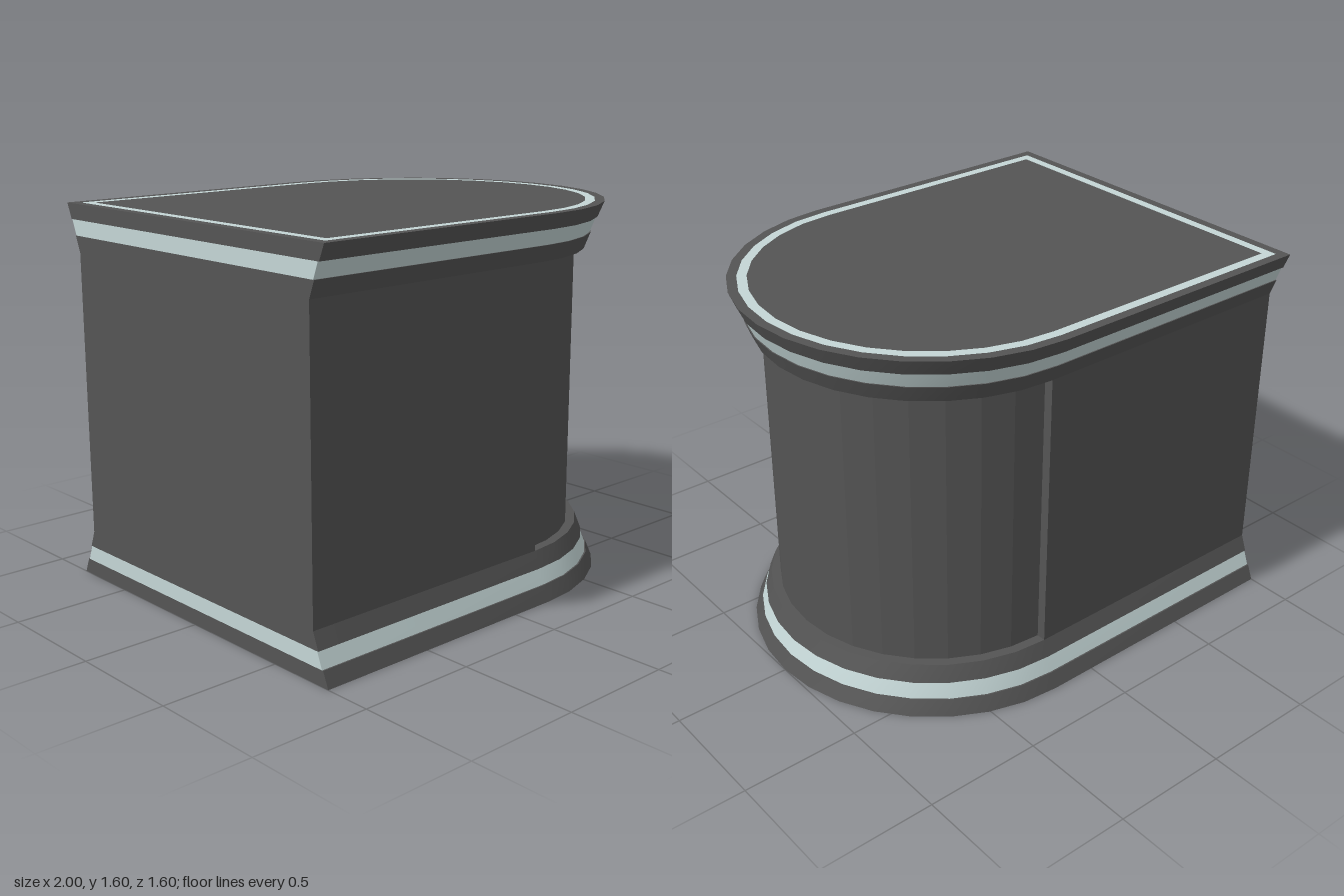
import * as THREE from 'three';
import { toCreasedNormals } from 'three/addons/utils/BufferGeometryUtils.js';

const HEIGHT = 1.6, ARC_X = 0.2, SEGMENTS = 16;

// D-shaped outline [x, z]: flat end at x = left, half circle of radius r at the other
function outline(r, left = -1) {
  const pts = [[left, r]];
  for (let i = 0; i <= SEGMENTS; i++) {
    const a = Math.PI * (0.5 - i / SEGMENTS);
    pts.push([ARC_X + r * Math.cos(a), r * Math.sin(a)]);
  }
  pts.push([left, -r]);
  return pts;
}

// Wall through D outlines, profile = [y, radius] from low to high
function loft(profile) {
  const pos = [];
  for (let k = 0; k < profile.length - 1; k++) {
    const [y0, r0] = profile[k], [y1, r1] = profile[k + 1];
    const lo = outline(r0), hi = outline(r1);
    lo.forEach((p, i) => {
      const j = (i + 1) % lo.length;
      const a = [p[0], y0, p[1]], b = [lo[j][0], y0, lo[j][1]];
      const c = [hi[j][0], y1, hi[j][1]], d = [hi[i][0], y1, hi[i][1]];
      pos.push(...a, ...b, ...c, ...a, ...c, ...d);
    });
  }
  const g = new THREE.BufferGeometry();
  g.setAttribute('position', new THREE.Float32BufferAttribute(pos, 3));
  return toCreasedNormals(g, 0.3);
}

// Flat D plate, optionally with a D-shaped hole
function plate(outer, inner) {
  const toVec = ([x, z]) => new THREE.Vector2(x, -z);
  const shape = new THREE.Shape(outer.map(toVec));
  if (inner) shape.holes.push(new THREE.Path(inner.map(toVec)));
  return new THREE.ShapeGeometry(shape);
}

export function createModel() {
  const group = new THREE.Group();
  const dark = new THREE.MeshStandardMaterial({ color: 0x545454 });
  dark.name = 'dark grey';
  const light = new THREE.MeshStandardMaterial({ color: 0xc4d6d6 });
  light.name = 'pale trim';

  const add = (name, geometry, material) => {
    const mesh = new THREE.Mesh(geometry, material);
    mesh.name = name;
    group.add(mesh);
    return mesh;
  };

  // Flared mouldings, the upper one mirrored from the lower one
  const bands = [
    ['OuterBand', dark, [[0, 0.8], [0.065, 0.773], [0.065, 0.767]]],
    ['TrimBand', light, [[0.065, 0.767], [0.13, 0.742]]],
    ['InnerBand', dark, [[0.13, 0.742], [0.13, 0.747], [0.2, 0.72], [0.2, 0.68]]],
  ];
  for (const [name, material, profile] of bands) {
    add('base' + name, loft(profile), material);
    const flipped = profile.map(([y, r]) => [HEIGHT - y, r]).reverse();
    add('top' + name, loft(flipped), material);
  }

  // Straight walls and the slightly recessed rounded wall
  add('straightBody', new THREE.BoxGeometry(1.2, 1.2, 1.44), dark).position.set(-0.4, 0.8, 0);
  const round = new THREE.CylinderGeometry(0.68, 0.68, 1.2, SEGMENTS, 1, true, 0, Math.PI).toNonIndexed();
  round.computeVertexNormals();
  add('roundedBody', round, dark).position.set(ARC_X, 0.8, 0);

  // Top surface with an inlaid border, and the underside
  const rim = outline(0.8), stripeOut = outline(0.76, -0.96), stripeIn = outline(0.72, -0.92);
  const tops = [
    ['topRim', plate(rim, stripeOut), dark],
    ['topStripe', plate(stripeOut, stripeIn), light],
    ['topPanel', plate(stripeIn), dark],
  ];
  for (const [name, geometry, material] of tops) {
    add(name, geometry.rotateX(-Math.PI / 2), material).position.y = HEIGHT;
  }
  add('underside', plate(rim).rotateX(Math.PI / 2), dark);

  return group;
}
